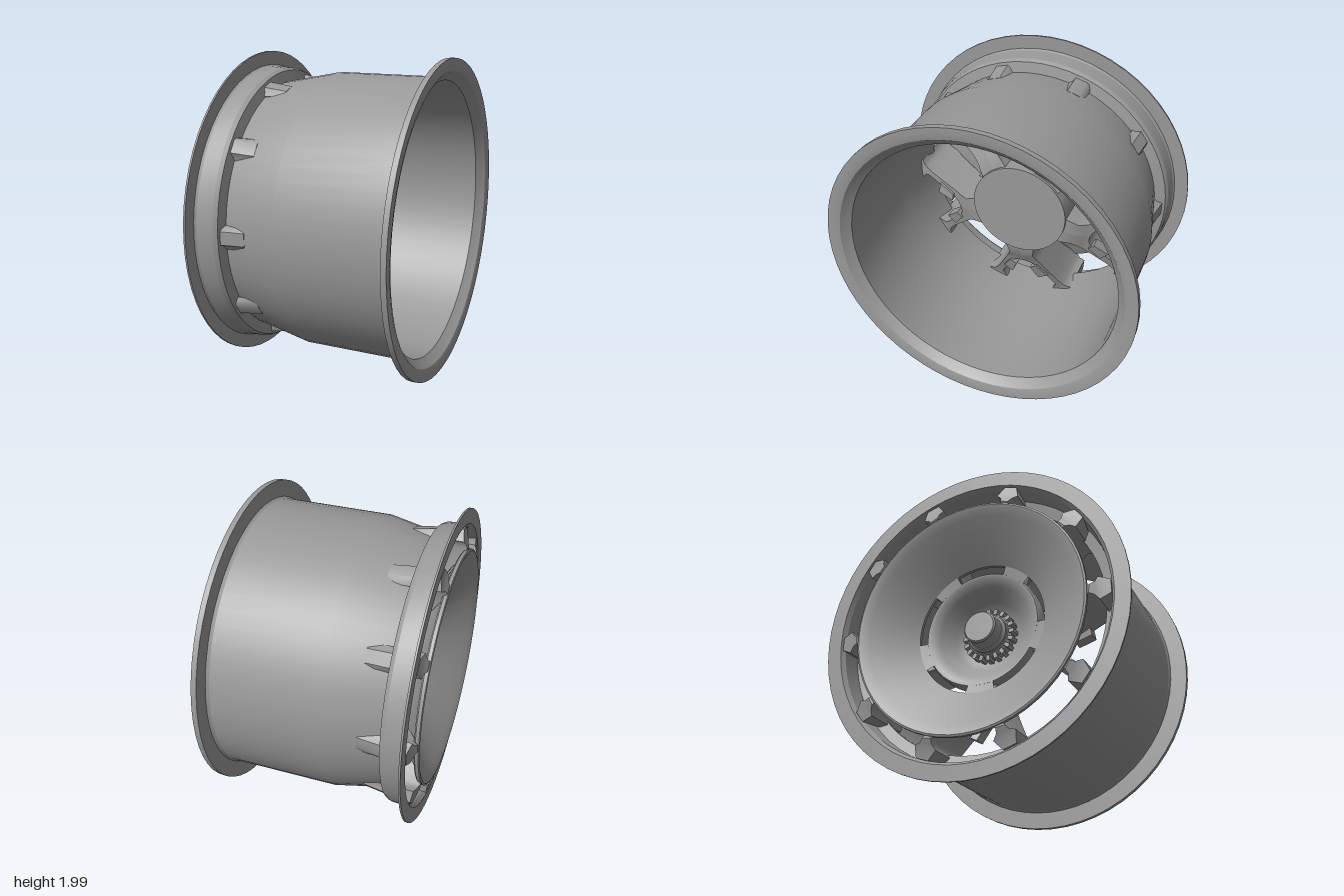
import * as THREE from 'three';
import { toCreasedNormals } from 'three/addons/utils/BufferGeometryUtils.js';

const SEG = 60;
const SPOKES = 5;
const STEP = (Math.PI * 2) / SPOKES;
const material = new THREE.MeshStandardMaterial({ color: 0x999999, side: THREE.DoubleSide });

function addMesh(parent, name, geometry, crease = 0.5) {
  const mesh = new THREE.Mesh(toCreasedNormals(geometry, crease), material);
  mesh.name = name;
  parent.add(mesh);
  return mesh;
}

// Closed [radius, x] profile turned about the x axis
function turned(profile, segments = SEG, start = 0, length = Math.PI * 2) {
  const points = [...profile, profile[0]].map(([r, x]) => new THREE.Vector2(r, x));
  return new THREE.LatheGeometry(points, segments, start, length).rotateZ(-Math.PI / 2);
}

// Piecewise linear lookup of x by radius
function lookup(table, r) {
  if (r <= table[0][0]) return table[0][1];
  for (let i = 1; i < table.length; i++) {
    const [r0, x0] = table[i - 1], [r1, x1] = table[i];
    if (r <= r1) return x0 + ((x1 - x0) * (r - r0)) / (r1 - r0);
  }
  return table[table.length - 1][1];
}
const spokeFront = [[0.22, -0.28], [0.42, -0.425], [0.58, -0.52], [0.74, -0.63], [0.76, -0.64], [0.85, -0.605]];
const spokeBack = [[0.3, -0.08], [0.4, -0.11], [0.5, -0.165], [0.8, -0.29], [0.84, -0.3]];

// Half of the Y-shaped spoke: rows of outer (u, v) and inner (u, v) edge points
const spokeRows = [
  [0.1, 0.24, 0, 0.24], [0.097, 0.33, 0, 0.33], [0.086, 0.39, 0, 0.4], [0.1, 0.44, 0, 0.46],
  [0.118, 0.475, 0, 0.49], [0.13, 0.5, 0.04, 0.497], [0.145, 0.53, 0.075, 0.52], [0.17, 0.58, 0.105, 0.57],
  [0.22, 0.675, 0.165, 0.67], [0.255, 0.725, 0.2, 0.735], [0.275, 0.745, 0.2, 0.765],
  [0.312, 0.752, 0.178, 0.802], [0.295, 0.787, 0.22, 0.813]];

function spokeHalf(side) {
  const positions = [], index = [];
  const last = spokeRows.length - 1;
  spokeRows.forEach(([uo, vo, ui, vi], row) => {
    const edges = side > 0 ? [[ui, vi], [uo, vo]] : [[-uo, vo], [-ui, vi]];
    const [a, b] = edges.map(([u, v]) => [u, v, Math.hypot(u, v)]);
    // the front face reaches further out, to the wall of the bead seat
    const reach = row === last ? 1.05 : 1;
    for (const [u, v, r] of [a, b]) positions.push(u, v, lookup(spokeBack, r));
    for (const [u, v, r] of [b, a]) positions.push(u * reach, v * reach, lookup(spokeFront, r * reach));
  });
  for (let i = 0; i < last; i++) {
    for (let j = 0; j < 4; j++) {
      const k = (j + 1) % 4, p = i * 4, q = p + 4;
      index.push(p + j, p + k, q + k, p + j, q + k, q + j);
    }
  }
  const e = last * 4;
  index.push(e, e + 1, e + 2, e, e + 2, e + 3, 0, 2, 1, 0, 3, 2);
  const geo = new THREE.BufferGeometry();
  geo.setAttribute('position', new THREE.Float32BufferAttribute(positions, 3));
  geo.setIndex(index);
  return geo.rotateY(Math.PI / 2);
}

// Tapered block lying on the back of a spoke arm
function blockGeometry(side) {
  const geo = new THREE.BoxGeometry(0.076, 0.122, 0.08);
  const p = geo.attributes.position;
  for (let i = 0; i < p.count; i++) {
    if (p.getY(i) < 0) p.setX(i, p.getX(i) * 0.68);
    p.setZ(i, p.getZ(i) - p.getY(i) * 0.35);
  }
  geo.rotateZ(-side * 0.5).translate(side * 0.102, 0.58, -0.22);
  return geo.rotateY(Math.PI / 2);
}

export function createModel() {
  const group = new THREE.Group();
  const wheel = new THREE.Group();
  wheel.name = 'wheel';
  wheel.position.y = 1;
  group.add(wheel);

  // Rim barrel: thin shell with both flanges and the raised bead seat
  addMesh(wheel, 'rimBarrel', turned([
    [0.9, -0.606], [0.995, -0.606], [0.995, -0.594], [0.908, -0.594], [0.9, -0.58], [0.893, -0.475],
    [0.88, -0.45], [0.812, -0.436], [0.88, -0.1], [0.88, 0.585], [0.89, 0.604], [0.995, 0.606],
    [0.995, 0.64], [0.945, 0.64], [0.915, 0.632], [0.89, 0.605], [0.862, 0.58], [0.862, -0.1],
    [0.803, -0.42], [0.803, -0.448], [0.87, -0.465], [0.88, -0.58]]), 0.3);

  // Dished cover with a narrow outer lip
  addMesh(wheel, 'cover', turned([
    [0.42, -0.425], [0.42, -0.445], [0.5, -0.5], [0.6, -0.565], [0.68, -0.615], [0.72, -0.638],
    [0.74, -0.645], [0.752, -0.64], [0.752, -0.62], [0.74, -0.61], [0.68, -0.595], [0.58, -0.535], [0.5, -0.48]]), 0.6);

  // Inner dish and the bridges that separate the five cover slots
  addMesh(wheel, 'innerDish', turned([
    [0.1, -0.25], [0.18, -0.28], [0.23, -0.32], [0.3, -0.395], [0.345, -0.43], [0.37, -0.435],
    [0.38, -0.42], [0.38, -0.34], [0.32, -0.28], [0.1, -0.22]]), 0.6);
  const bridge = [[0.37, -0.435], [0.43, -0.448], [0.43, -0.4], [0.37, -0.38]];
  const arc = 0.45;

  // Hub body behind the dish
  addMesh(wheel, 'hub', new THREE.CylinderGeometry(0.32, 0.32, 0.2, SEG).rotateZ(-Math.PI / 2)).position.x = -0.17;

  // Spokes, blocks and bridges, one set per fifth of a turn
  for (let k = 0; k < SPOKES; k++) {
    const set = new THREE.Group();
    set.name = 'spokeSet' + (k + 1);
    set.rotation.x = Math.PI + k * STEP;
    wheel.add(set);
    for (const side of [-1, 1]) {
      addMesh(set, 'spokeArm', spokeHalf(side), 0.6);
      addMesh(set, 'spokeBlock', blockGeometry(side), 0.2);
    }
    addMesh(set, 'coverBridge', turned(bridge, 6, -Math.PI / 2 - arc / 2, arc));
  }

  // Centre lock: toothed ring, collar and axle end
  addMesh(wheel, 'lockRing', turned([[0.09, -0.24], [0.15, -0.24], [0.15, -0.32], [0.13, -0.335], [0.09, -0.335]]));
  const teeth = 20;
  for (let i = 0; i < teeth; i++) {
    const tooth = new THREE.BoxGeometry(0.07, 0.035, 0.025).translate(-0.305, 0.155, 0);
    addMesh(wheel, 'lockTooth', tooth.rotateX((i / teeth) * Math.PI * 2));
  }
  addMesh(wheel, 'lockCollar', turned([[0.07, -0.32], [0.125, -0.32], [0.125, -0.355], [0.11, -0.37], [0.07, -0.37]]));
  addMesh(wheel, 'axleEnd', turned([[0, -0.25], [0.105, -0.25], [0.105, -0.455], [0.095, -0.465], [0, -0.465]]));

  // Small valve seat on the bead
  const valve = new THREE.CylinderGeometry(0.025, 0.025, 0.03, 8).translate(-0.53, -0.888, 0);
  addMesh(wheel, 'valveSeat', valve.rotateX(-0.17));

  return group;
}
